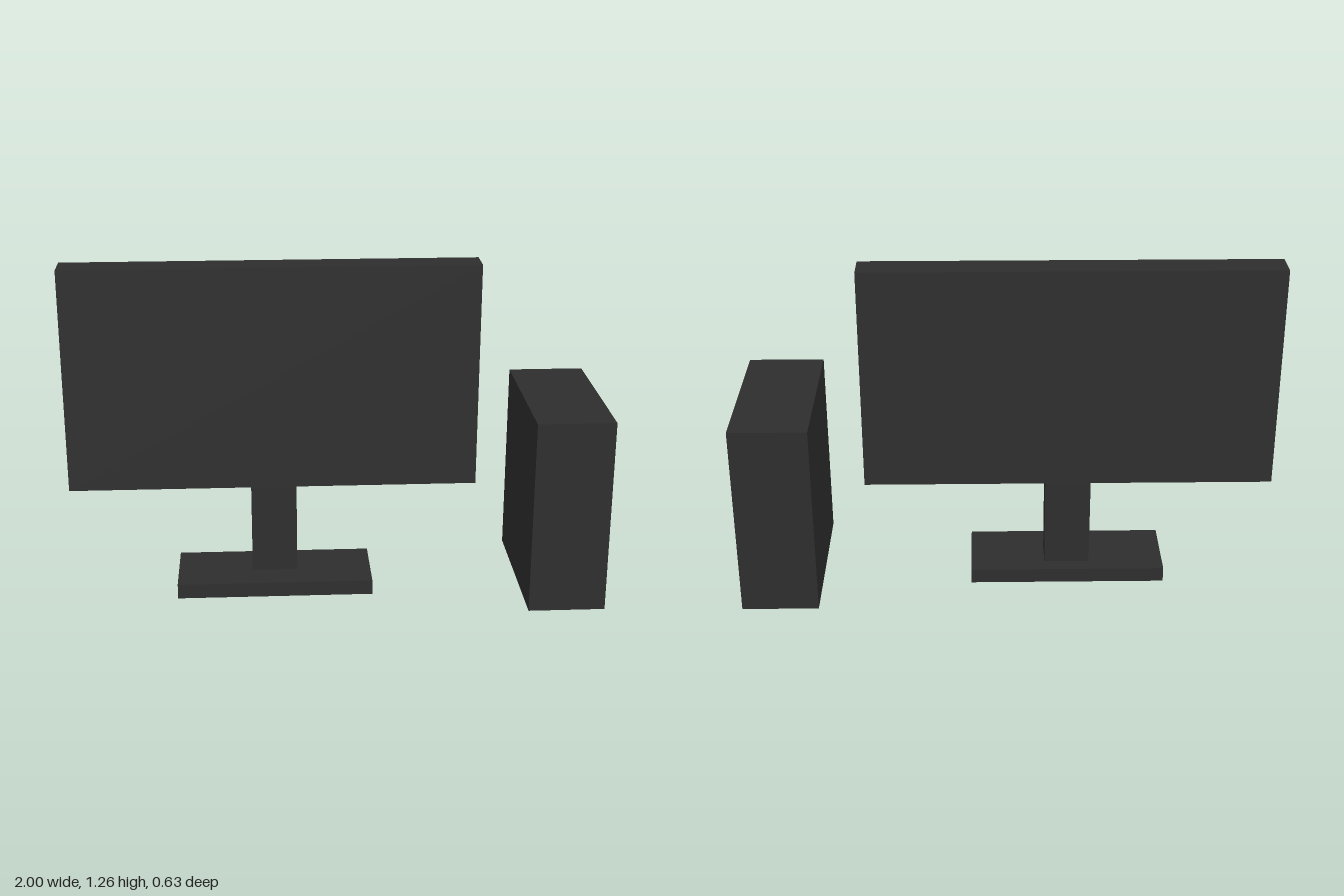
import * as THREE from 'three';

export function createModel() {
  const model = new THREE.Group();
  const darkPlastic = new THREE.MeshStandardMaterial({ color: 0x2e2e2e });
  darkPlastic.name = 'darkPlastic';

  // Box spanning [min, max] on each axis
  function addBox(name, [x0, x1], [y0, y1], [z0, z1], parent) {
    const mesh = new THREE.Mesh(new THREE.BoxGeometry(x1 - x0, y1 - y0, z1 - z0), darkPlastic);
    mesh.position.set((x0 + x1) / 2, (y0 + y1) / 2, (z0 + z1) / 2);
    mesh.name = name;
    parent.add(mesh);
  }

  // Monitor: foot, neck and panel share one centre line; neck is as deep as the panel
  const monitor = new THREE.Group();
  monitor.name = 'monitor';
  const panelDepth = [-0.086, 0.028];
  addBox('standBase', [-0.6, 0.14], [0, 0.057], [-0.143, 0.143], monitor);
  addBox('standNeck', [-0.315, -0.143], [0.057, 0.403], panelDepth, monitor);
  addBox('screenPanel', [-1, 0.54], [0.403, 1.257], panelDepth, monitor);
  model.add(monitor);

  // Computer case beside the monitor
  addBox('computerTower', [0.713, 1], [0, 0.743], [-0.314, 0.314], model);

  return model;
}
